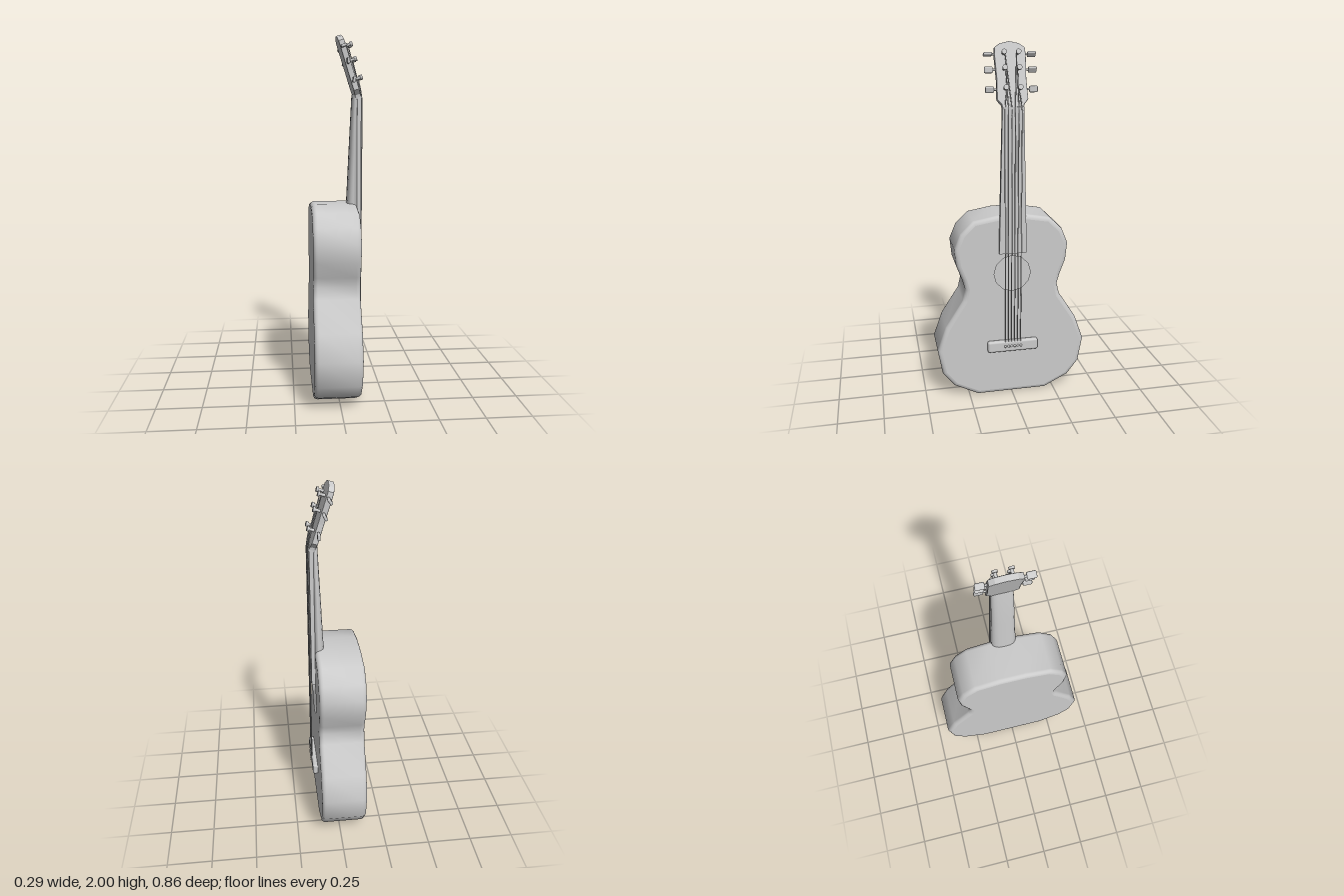
import * as THREE from 'three';
import { RoundedBoxGeometry } from 'three/addons/geometries/RoundedBoxGeometry.js';

const grey = new THREE.MeshStandardMaterial({ color: 0xcccccc, side: THREE.DoubleSide });

function add(parent, name, geometry, x = 0, y = 0, z = 0) {
  const mesh = new THREE.Mesh(geometry, grey);
  mesh.name = name;
  mesh.position.set(x, y, z);
  parent.add(mesh);
  return mesh;
}

// Smooth skin through closed rings of Vector3, all with the same count
function loft(rings) {
  const n = rings[0].length, index = [];
  for (let i = 0; i < rings.length - 1; i++) {
    for (let j = 0; j < n; j++) {
      const k = (j + 1) % n, a = i * n + j, b = i * n + k;
      index.push(a, b, b + n, a, b + n, a + n);
    }
  }
  const g = new THREE.BufferGeometry().setFromPoints(rings.flat());
  g.setIndex(index);
  g.computeVertexNormals();
  return g;
}

// Full symmetric outline from its right half, counter-clockwise
const mirror = half => [
  ...half.map(([x, y]) => new THREE.Vector2(x, y)),
  ...half.filter(([x]) => x > 0).reverse().map(([x, y]) => new THREE.Vector2(-x, y)),
];

// Move each outline point inward along its corner normal
function inset(points, d) {
  const n = points.length;
  return points.map((p, i) => {
    const t1 = p.clone().sub(points[(i + n - 1) % n]).normalize();
    const t2 = points[(i + 1) % n].clone().sub(p).normalize();
    const t = t1.add(t2).normalize();
    return new THREE.Vector2(p.x - t.y * d, p.y + t.x * d);
  });
}

function plate(points, depth, bevel) {
  const g = new THREE.ExtrudeGeometry(new THREE.Shape(points), {
    depth: depth - 2 * bevel, bevelEnabled: bevel > 0, bevelSize: bevel,
    bevelThickness: bevel, bevelOffset: -bevel, bevelSegments: 2,
  });
  return g.translate(0, 0, bevel);
}

function rod(points, radius) {
  const path = new THREE.CurvePath();
  for (let i = 1; i < points.length; i++) path.add(new THREE.LineCurve3(points[i - 1], points[i]));
  return new THREE.TubeGeometry(path, 24, radius, 6);
}

function buildBody(guitar) {
  const body = new THREE.Group();
  body.name = 'body';
  guitar.add(body);
  const outline = mirror([
    [0.2, 0], [0.34, 0.07], [0.405, 0.155], [0.43, 0.3], [0.38, 0.44], [0.28, 0.595], [0.265, 0.66],
    [0.28, 0.715], [0.312, 0.8], [0.322, 0.9], [0.287, 0.985], [0.215, 1.055], [0.075, 1.08],
  ]);
  // Hollow sides with rounded rims
  const r = 0.025, back = -0.145, front = 0.112, rings = [];
  const ring = (d, z) => rings.push(inset(outline, d).map(p => new THREE.Vector3(p.x, p.y, z)));
  for (let i = 0; i <= 4; i++) {
    const a = i / 4 * Math.PI / 2;
    ring(r * (1 - Math.sin(a)), back + r * (1 - Math.cos(a)));
  }
  for (let i = 4; i >= 0; i--) {
    const a = i / 4 * Math.PI / 2;
    ring(r * (1 - Math.sin(a)), front - r * (1 - Math.cos(a)));
  }
  add(body, 'sides', loft(rings));
  // Back panel, and front panel with the sound hole
  const inner = inset(outline, r);
  add(body, 'backPanel', new THREE.ShapeGeometry(new THREE.Shape(inner)).rotateY(Math.PI), 0, 0, back);
  const top = new THREE.Shape(inner);
  const hole = [];
  for (let i = 0; i < 12; i++) {
    const a = -i / 12 * Math.PI * 2;
    hole.push(new THREE.Vector2(0.104 * Math.cos(a), 0.745 + 0.104 * Math.sin(a)));
  }
  top.holes.push(new THREE.Path(hole));
  add(body, 'frontPanel', new THREE.ShapeGeometry(top), 0, 0, front);
  // Bridge and its pins
  add(body, 'bridge', new RoundedBoxGeometry(0.292, 0.066, 0.034, 2, 0.012), 0, 0.308, 0.124);
  for (let i = 0; i < 6; i++) {
    add(body, 'bridgePin', new THREE.SphereGeometry(0.008, 8, 6), (i - 2.5) * 0.018, 0.31, 0.14);
  }
}

function buildNeck(guitar) {
  // Rounded neck, tapering towards the head
  const section = (y, w, depth) => {
    const pts = [];
    for (let i = 0; i <= 10; i++) {
      const a = i / 10 * Math.PI;
      pts.push(new THREE.Vector3(w * Math.sign(Math.cos(a)) * Math.abs(Math.cos(a)) ** 0.7, y,
        0.114 - depth * Math.sin(a) ** 0.7));
    }
    return pts;
  };
  const end = section(1.68, 0.057, 0.027);
  add(guitar, 'neck', loft([
    section(1.04, 0.072, 0.058), section(1.36, 0.065, 0.043), end,
    end.map(() => new THREE.Vector3(0, 1.68, 0.11)),
  ]));
  add(guitar, 'fretboard', plate(mirror([[0.077, 0.868], [0.058, 1.665]]), 0.022, 0), 0, 0, 0.111);
  add(guitar, 'nut', new THREE.BoxGeometry(0.114, 0.012, 0.028), 0, 1.664, 0.124);
}

function buildHead(guitar) {
  const head = new THREE.Group();
  head.name = 'head';
  head.position.set(0, 1.665, 0.133);
  head.rotation.x = -0.308;
  guitar.add(head);
  add(head, 'headstock', plate(mirror([
    [0.057, -0.005], [0.06, 0.018], [0.083, 0.045], [0.079, 0.15], [0.084, 0.28], [0.08, 0.318],
    [0.052, 0.338], [0, 0.35],
  ]), 0.032, 0.005), 0, 0, -0.032);

  // Tuning posts and turned buttons
  const heights = [0.1, 0.203, 0.284];
  const turns = { '-1': [0.5, 0.25, 1.5], 1: [0.3, 0.8, 0.9] };
  for (const side of [-1, 1]) {
    heights.forEach((y, i) => {
      add(head, 'tuningPost', new THREE.CylinderGeometry(0.008, 0.008, 0.05, 10).rotateX(Math.PI / 2),
        side * 0.038, y, 0.01);
      add(head, 'postCap', new THREE.CylinderGeometry(0.014, 0.014, 0.012, 10).rotateX(Math.PI / 2),
        side * 0.038, y, 0.033);
      add(head, 'tunerShaft', new THREE.CylinderGeometry(0.006, 0.006, 0.05, 8).rotateZ(Math.PI / 2),
        side * 0.085, y, -0.016);
      const button = add(head, 'tunerButton', new RoundedBoxGeometry(0.046, 0.034, 0.016, 2, 0.007),
        side * 0.117, y, -0.016);
      button.rotation.x = turns[side][i];
    });
  }

  // Strings from bridge over the nut to the posts
  head.updateMatrix();
  for (let i = 0; i < 6; i++) {
    const t = i - 2.5, side = Math.sign(t);
    const post = new THREE.Vector3(side * 0.031, heights[Math.round(2.5 - Math.abs(t))], 0.016);
    add(guitar, 'string', rod([
      new THREE.Vector3(t * 0.0175, 0.31, 0.137),
      new THREE.Vector3(t * 0.0185, 1.668, 0.139),
      post.applyMatrix4(head.matrix),
    ], 0.0028));
  }
}

export function createModel() {
  const model = new THREE.Group();
  const guitar = new THREE.Group();
  guitar.name = 'guitar';
  // Built facing +z, then turned to face +x
  guitar.rotation.y = Math.PI / 2;
  model.add(guitar);
  buildBody(guitar);
  buildNeck(guitar);
  buildHead(guitar);
  return model;
}
